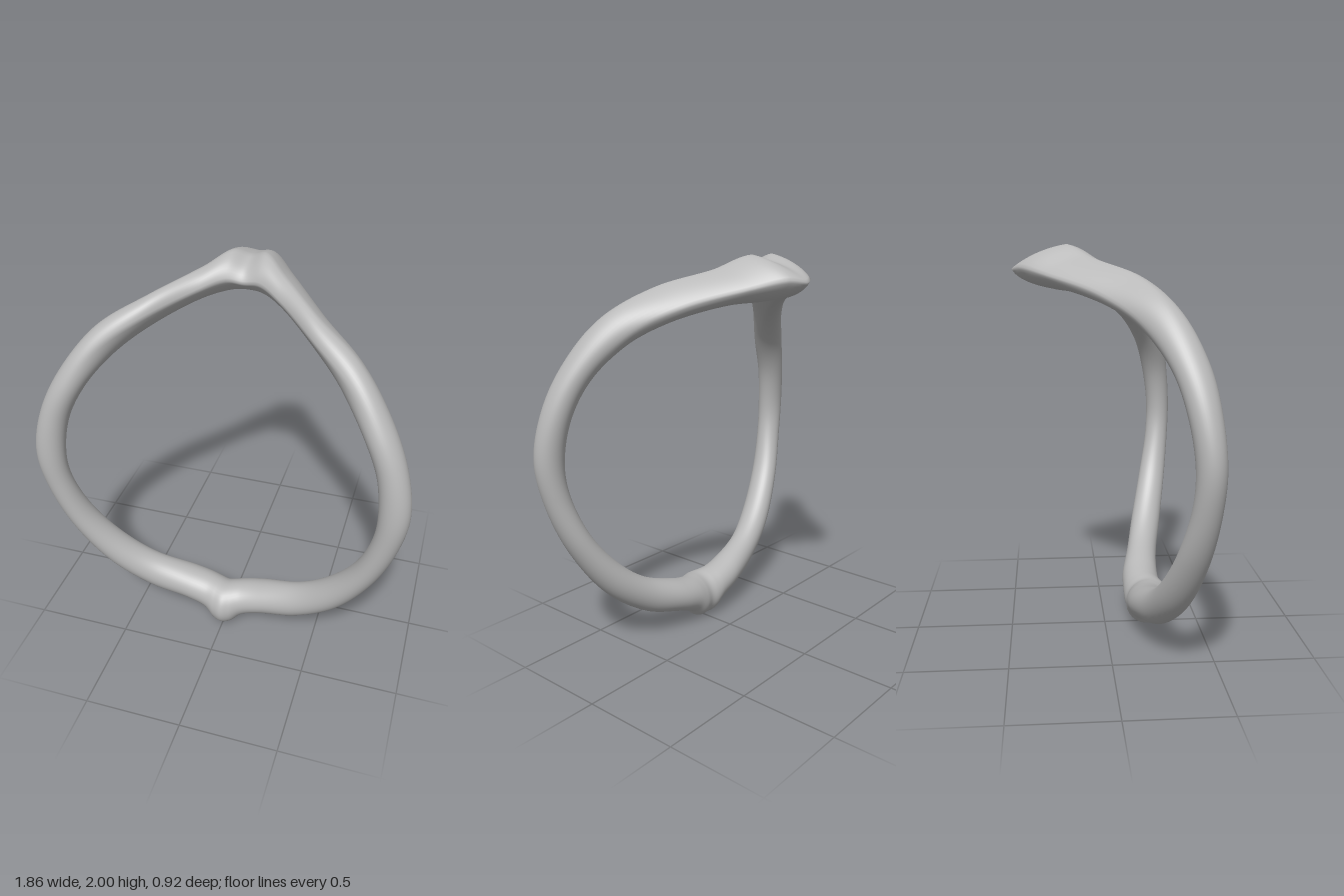
import * as THREE from 'three';

// Half of the ring, from top centre round the left side to bottom centre:
// outer x, y, inner x, y, front z, back z of each section.
const half = [
  [0, 1.975, 0, 1.79, -0.08, -0.46],
  [0.08, 2, 0.08, 1.785, -0.065, -0.42],
  [0.2, 1.94, 0.2, 1.77, 0.01, -0.29],
  [0.4, 1.86, 0.4, 1.69, 0.19, -0.06],
  [0.62, 1.73, 0.55, 1.585, 0.31, 0.11],
  [0.8, 1.5, 0.67, 1.44, 0.4, 0.23],
  [0.895, 1.29, 0.755, 1.26, 0.437, 0.29],
  [0.932, 1.08, 0.785, 1.04, 0.455, 0.32],
  [0.9, 0.87, 0.767, 0.88, 0.447, 0.312],
  [0.8, 0.6, 0.69, 0.67, 0.42, 0.265],
  [0.62, 0.33, 0.55, 0.48, 0.375, 0.205],
  [0.4, 0.165, 0.4, 0.36, 0.33, 0.16],
  [0.2, 0.1, 0.2, 0.285, 0.31, 0.115],
  [0.1, 0.06, 0.1, 0.26, 0.315, 0.11],
  [0.045, 0.01, 0.045, 0.252, 0.34, 0.112],
  [0, 0.004, 0, 0.248, 0.355, 0.12],
];

// Outer, front, inner and back points of a section; the crest leans forward near the top.
function sectionCorners([ox, oy, ix, iy, front, back], side) {
  const x = (ox + ix) / 2, y = (oy + iy) / 2, z = (front + back) / 2;
  const lean = 0.05 * THREE.MathUtils.smoothstep(oy, 1.6, 1.95);
  return [[ox, oy, z + lean], [x, y, front], [ix, iy, z], [x, y, back]]
    .map(([px, py, pz]) => new THREE.Vector3(side * px, py, pz));
}

// Smooth closed curve through the four corners, flattened between them near the top.
function sectionPoint(corners, t) {
  const a = t * Math.PI * 2;
  const c = Math.cos(a), s = Math.sin(a), d = Math.cos(2 * a);
  const weights = [1 + 2 * c + d, 1 + 2 * s - d, 1 - 2 * c + d, 1 - 2 * s - d];
  const round = new THREE.Vector3();
  corners.forEach((q, k) => round.addScaledVector(q, weights[k] / 4));
  const k = Math.floor(t * 4);
  const straight = corners[k].clone().lerp(corners[(k + 1) % 4], t * 4 - k);
  return round.lerp(straight, 0.4 * THREE.MathUtils.smoothstep(corners[0].y, 1.6, 1.95));
}

function ringGeometry(along, around) {
  const stations = [
    ...half.map((st) => sectionCorners(st, 1)),
    ...half.slice(1, -1).reverse().map((st) => sectionCorners(st, -1)),
  ];
  const rails = [0, 1, 2, 3].map((k) => new THREE.CatmullRomCurve3(stations.map((st) => st[k]), true));

  const positions = [], index = [];
  for (let i = 0; i < along; i++) {
    const corners = rails.map((rail) => rail.getPoint(i / along));
    for (let j = 0; j < around; j++) {
      positions.push(...sectionPoint(corners, j / around).toArray());
      const i2 = (i + 1) % along, j2 = (j + 1) % around;
      const a = i * around + j, b = i * around + j2;
      const c = i2 * around + j, d = i2 * around + j2;
      index.push(a, b, c, b, d, c);
    }
  }
  const g = new THREE.BufferGeometry();
  g.setAttribute('position', new THREE.Float32BufferAttribute(positions, 3));
  g.setIndex(index);
  g.computeVertexNormals();
  return g;
}

export function createModel() {
  const group = new THREE.Group();
  group.name = 'curvedRing';
  const grey = new THREE.MeshStandardMaterial({ color: 0xb8b8b8 });
  grey.name = 'grey';
  // One continuous band with a peaked crest at the top and a small knob at the bottom
  const band = new THREE.Mesh(ringGeometry(300, 40), grey);
  band.name = 'ringBand';
  group.add(band);
  return group;
}
